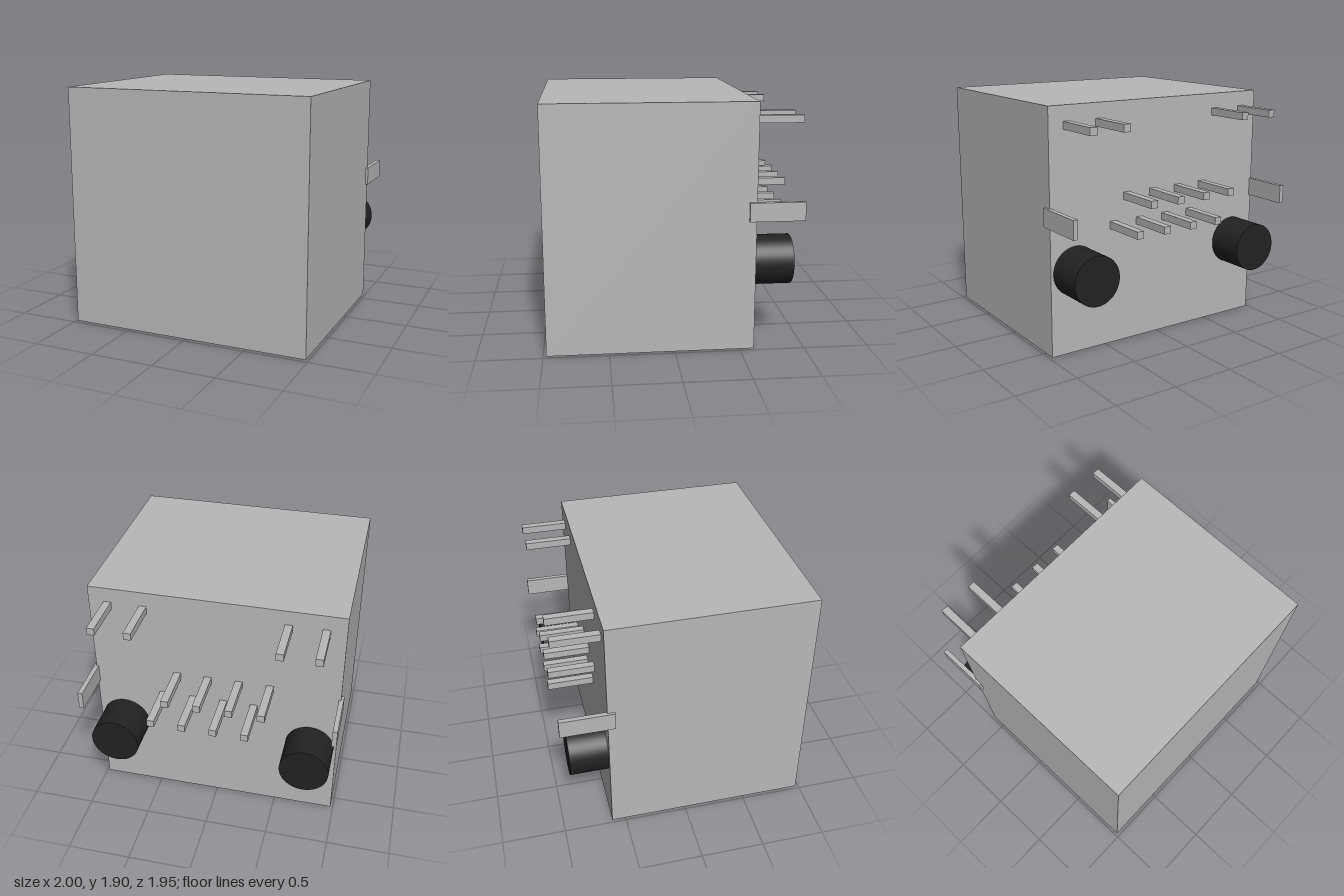
import * as THREE from 'three';

const BACK = -0.61; // rear face of the housing
const TIP = -0.974; // rear end of pins and clips

export function createModel() {
  const model = new THREE.Group();
  model.name = 'relay';

  const grey = new THREE.MeshStandardMaterial({ color: 0xb8b8b8 });
  grey.name = 'light grey';
  const black = new THREE.MeshStandardMaterial({ color: 0x222222 });
  black.name = 'black';

  // Box given by its lower and upper corners
  const box = (name, material, [x0, y0, z0], [x1, y1, z1]) => {
    const mesh = new THREE.Mesh(new THREE.BoxGeometry(x1 - x0, y1 - y0, z1 - z0), material);
    mesh.position.set((x0 + x1) / 2, (y0 + y1) / 2, (z0 + z1) / 2);
    mesh.name = name;
    model.add(mesh);
  };
  const pin = (name, x, y) =>
    box(name, grey, [x - 0.029, y - 0.029, TIP], [x + 0.029, y + 0.029, BACK]);

  // Housing and the dark plate underneath
  box('housing', grey, [-0.98, 0.005, BACK], [0.98, 1.905, 0.974]);
  box('bottomPlate', black, [-0.435, 0, -0.42], [0.435, 0.005, 0.55]);

  for (const side of [-1, 1]) {
    const label = side > 0 ? 'left' : 'right';

    // Round locating peg
    const peg = new THREE.Mesh(new THREE.CylinderGeometry(0.193, 0.193, 0.302, 64), black);
    peg.rotation.x = Math.PI / 2;
    peg.position.set(side * 0.765, 0.655, BACK - 0.151);
    peg.name = label + 'Peg';
    model.add(peg);

    // Flat side clip, partly sunk into the housing
    const xs = [side * 0.963, side * 1].sort((a, b) => a - b);
    box(label + 'Clip', grey, [xs[0], 1.015, TIP], [xs[1], 1.16, -0.553]);

    // Pair of upper pins
    for (const x of [0.553, 0.83]) pin(label + 'UpperPin', side * x, 1.759);
  }

  // Two staggered rows of lower pins
  for (let i = 0; i < 8; i++) pin('lowerPin', -0.431 + i * 0.123, i % 2 ? 0.963 : 1.176);

  return model;
}
